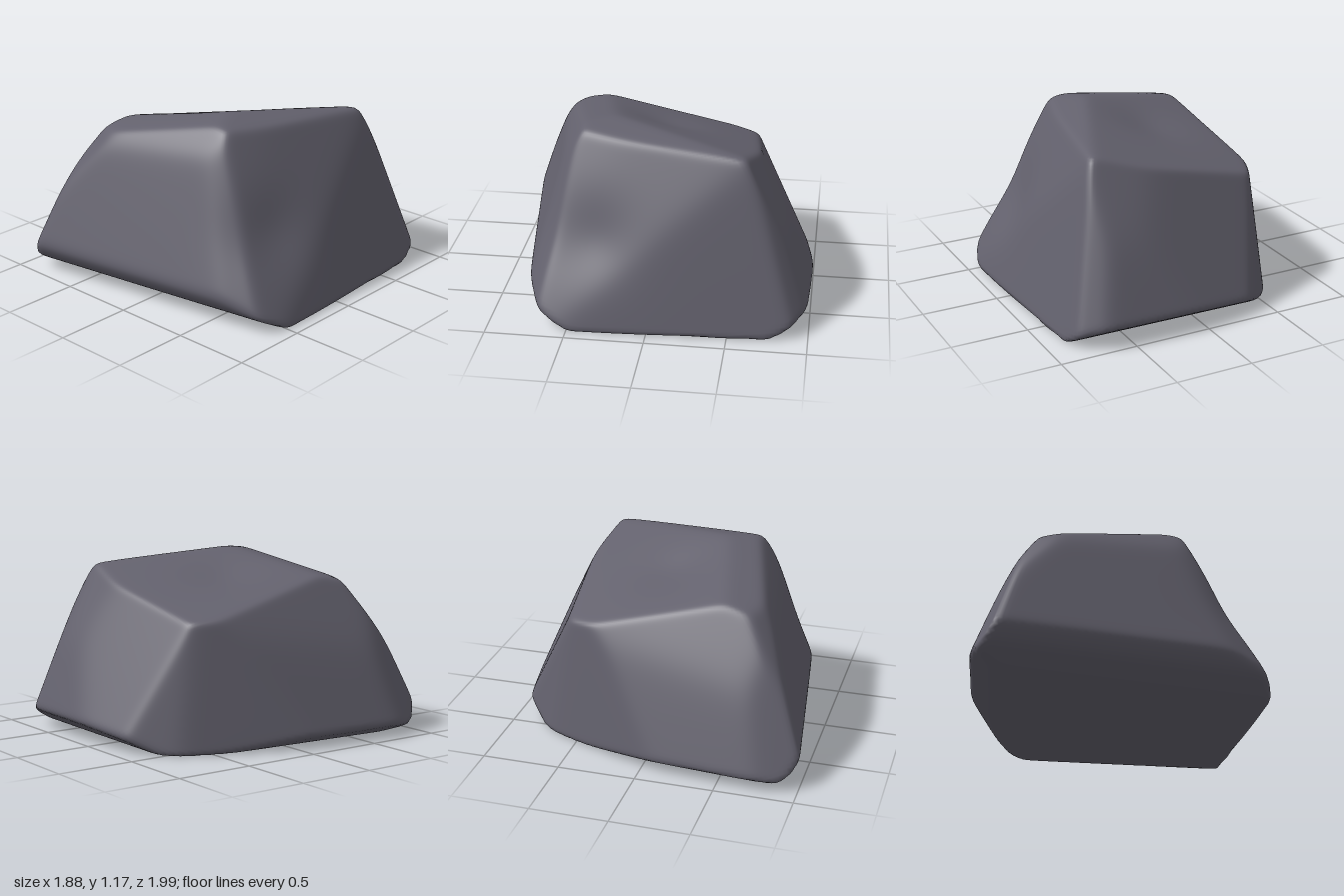
import * as THREE from 'three';
import { mergeVertices } from 'three/addons/utils/BufferGeometryUtils.js';

const V = (x, y, z) => new THREE.Vector3(x, y, z);
const CENTRE = V(0, 0.45, 0);

// A cutting plane facing away from the centre: direction n, distance h.
function cut(normal, point) {
  const n = normal.clone().normalize();
  let h = n.dot(point.clone().sub(CENTRE));
  if (h < 0) { n.negate(); h = -h; }
  return { n, h };
}
const cut3 = (a, b, c) => cut(b.clone().sub(a).cross(c.clone().sub(a)), a);

// Side plane through two plan points at height y, moving inward by lean per unit of height.
function side(x1, z1, x2, z2, y, lean) {
  const n = V(z2 - z1, 0, x1 - x2).normalize();
  if (n.x * x1 + n.z * z1 < 0) n.negate();
  n.y = lean;
  return cut(n, V(x1, y, z1));
}

// Corners of the rock
const lowFront = V(0.925, 0.07, 0.5), lowBack = V(0.85, 0.1, -0.86);
const topFront = V(0.46, 1.08, 0.46), topBack = V(0.635, 1.0, -0.54);
const peak = V(0.22, 1.187, 0.27), crestBack = V(0.57, 1.09, -0.56);
const topBackRight = V(-0.53, 0.795, -0.58);
const ridgeFoot = V(-0.58, 0.15, -0.68);

const cuts = [
  // base
  cut(V(0, -1, 0), V(0, 0, 0)),
  // top: large facet falling to the back right corner, small ones on the left and front
  cut3(peak, crestBack, topBackRight),
  cut3(peak, V(0.46, 1.125, 0.4), crestBack),
  cut3(peak, V(0.3, 1.16, 0.46), V(-0.49, 1.025, 0.5)),
  cut3(V(0.4, 1.0, 0.575), V(0.4, 1.14, 0.47), V(-0.2, 1.0, 0.64)),
  // front, its upper right facet and its undercut
  cut3(V(-0.82, 0.2, 1.005), V(0.74, 0.2, 0.775), V(-0.72, 0.65, 0.85)),
  cut3(V(-0.8, 0.5, 0.9), V(-0.46, 0.9, 0.73), V(-0.6, 0.91, 0.65)),
  side(-0.82, 1.005, 0.74, 0.775, 0.2, -0.6),
  side(-0.76, 0.75, 0.72, 0.53, 0, -1.9),
  // left side, two facets
  cut3(lowFront, lowBack, topBack),
  cut3(lowFront, topBack, topFront),
  // right side, lower and upper, with undercut
  side(-0.93, 0.69, -0.87, 0, 0.18, 0.34),
  side(-0.845, 0.69, -0.81, 0, 0.48, 0.56),
  side(-0.78, 0.69, -0.73, 0, 0, -2.2),
  // back right ridge facets
  cut3(V(-0.87, 0.18, 0), ridgeFoot, topBackRight),
  cut3(ridgeFoot, V(-0.34, 0.15, -0.93), topBackRight),
  cut3(V(-0.34, 0.13, -0.93), V(0.1, 0.15, -1.01), topBackRight),
  // back, lower and upper, with undercut
  side(0.1, -1.01, 0.71, -0.99, 0.15, 0.33),
  side(0.1, -0.87, 0.71, -0.85, 0.59, 0.56),
  side(0.1, -0.78, 0.71, -0.77, 0, -1.7),
  // small corner bevels
  side(0.71, -0.99, 0.845, -0.885, 0.12, 0.38),
  side(0.93, 0.5, 0.88, 0.67, 0.1, 0.5),
  side(0.88, 0.67, 0.69, 0.78, 0.15, 0.4),
  side(-0.935, 0.69, -0.83, 1.01, 0.2, 0.4),
];

// Shallow worn hollows: on the left flank and on the top
const hollows = [
  { at: V(0.72, 0.5, 0.4), radius: 0.28, depth: 0.045 },
  { at: V(-0.1, 1.06, 0), radius: 0.25, depth: 0.03 },
];

// Rounded intersection of all the planes, found along each direction from the centre.
function rockGeometry(sharpness) {
  let geo = new THREE.IcosahedronGeometry(1, 60);
  geo.deleteAttribute('uv');
  geo.deleteAttribute('normal');
  geo = mergeVertices(geo, 1e-5);
  const pos = geo.attributes.position, d = V(0, 0, 0), p = V(0, 0, 0);
  for (let i = 0; i < pos.count; i++) {
    d.fromBufferAttribute(pos, i).normalize();
    let sum = 0;
    for (const { n, h } of cuts) sum += Math.pow(Math.max(0, n.dot(d)) / h, sharpness);
    p.copy(CENTRE).addScaledVector(d, Math.pow(sum, -1 / sharpness));
    for (const { at, radius, depth } of hollows) {
      p.addScaledVector(d, -depth * Math.exp(-p.distanceToSquared(at) / (radius * radius)));
    }
    pos.setXYZ(i, p.x, p.y, p.z);
  }
  geo.computeVertexNormals();
  return geo;
}

export function createModel() {
  const group = new THREE.Group();
  group.name = 'boulder';
  const stone = new THREE.MeshStandardMaterial({ color: 0x63616d });
  stone.name = 'greyStone';
  const rock = new THREE.Mesh(rockGeometry(60), stone);
  rock.name = 'rock';
  group.add(rock);
  return group;
}
